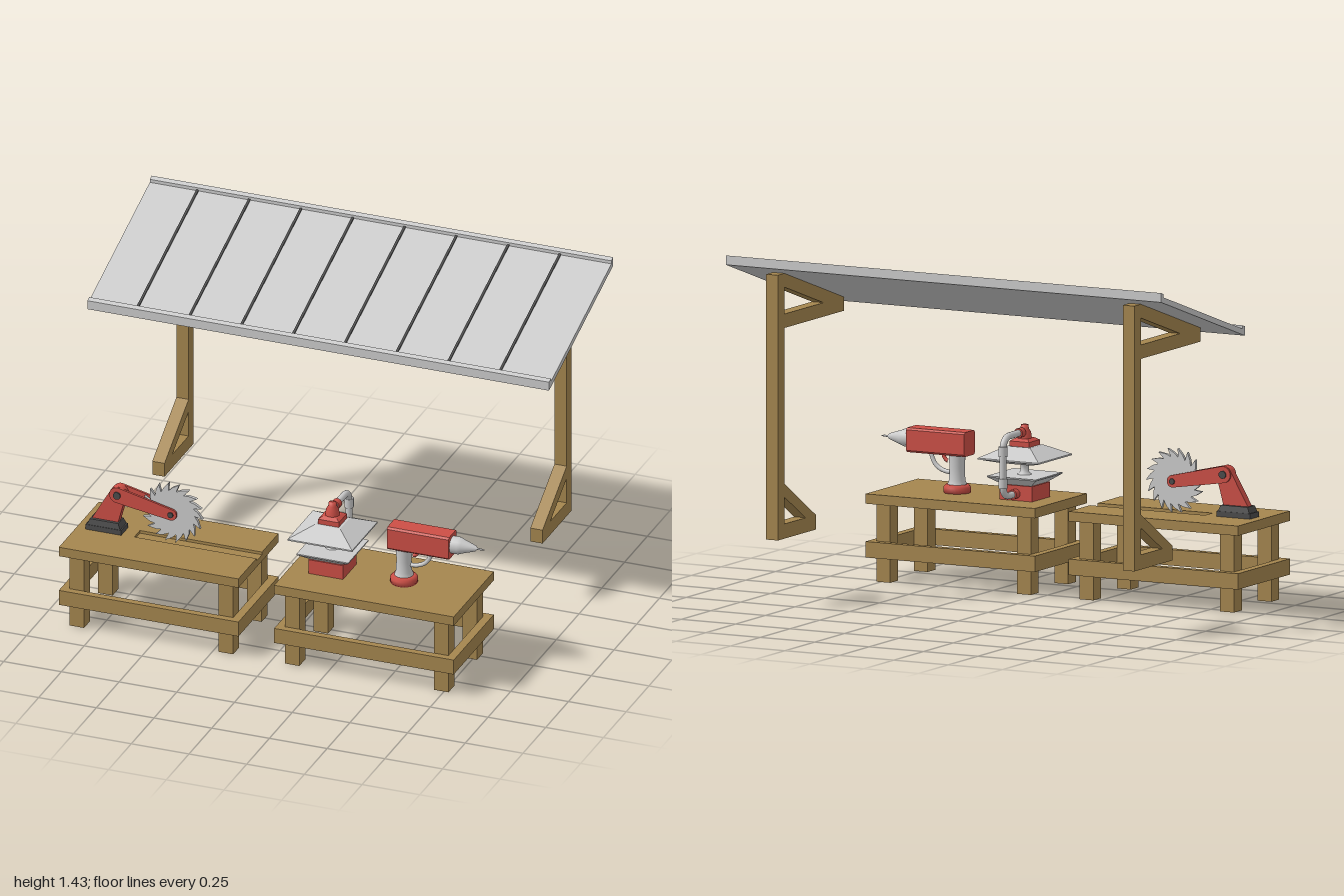
import * as THREE from 'three';

const mat = (color, extra = {}) => new THREE.MeshStandardMaterial({ color, ...extra });
const wood = mat(0xa5864f);
const red = mat(0xcc4f46);
const redFlat = mat(0xcc4f46, { flatShading: true });
const grey = mat(0xcccccc);
const greyFlat = mat(0xcccccc, { flatShading: true });
const dark = mat(0x4c4c4c, { flatShading: true });

function add(parent, name, geometry, material, x = 0, y = 0, z = 0) {
  const mesh = new THREE.Mesh(geometry, material);
  mesh.name = name;
  mesh.position.set(x, y, z);
  parent.add(mesh);
  return mesh;
}

// Box given by its lower and upper limits on each axis
function box(parent, name, material, x0, x1, y0, y1, z0, z1) {
  return add(parent, name, new THREE.BoxGeometry(x1 - x0, y1 - y0, z1 - z0), material,
    (x0 + x1) / 2, (y0 + y1) / 2, (z0 + z1) / 2);
}

// Profile of [z, y] points swept along x
function sweepX(points, x0, x1, holes = []) {
  const v = (list) => list.map(([z, y]) => new THREE.Vector2(-z, y));
  const shape = new THREE.Shape(v(points));
  for (const hole of holes) shape.holes.push(new THREE.Path(v(hole)));
  const g = new THREE.ExtrudeGeometry(shape, { depth: x1 - x0, bevelEnabled: false });
  return g.rotateY(Math.PI / 2).translate(x0, 0, 0);
}

// Square frustum from half width a at y0 to half width b at y1
function frustum(parent, name, material, a, b, y0, y1) {
  const g = new THREE.CylinderGeometry(b * Math.SQRT2, a * Math.SQRT2, y1 - y0, 4);
  return add(parent, name, g.rotateY(Math.PI / 4), material, 0, (y0 + y1) / 2, 0);
}

function lathe(points, segments = 24) {
  return new THREE.LatheGeometry(points.map(([r, y]) => new THREE.Vector2(r, y)), segments);
}

// Plate with two rounded ends of different radius, in the xy plane, centred on z
function link(x0, y0, r0, x1, y1, r1, depth) {
  const a = Math.atan2(y1 - y0, x1 - x0);
  const s = new THREE.Shape();
  s.absarc(x1, y1, r1, a - Math.PI / 2, a + Math.PI / 2, false);
  s.absarc(x0, y0, r0, a + Math.PI / 2, a + Math.PI * 1.5, false);
  const g = new THREE.ExtrudeGeometry(s, { depth, bevelEnabled: false, curveSegments: 10 });
  return g.translate(0, 0, -depth / 2);
}

function makeRoof() {
  const roof = new THREE.Group();
  roof.name = 'roof';
  const bottom = (z) => 1.16 + (0.08 - z) / 3;
  // Sloping sheet with a raised lip at both ends
  const profile = [[0.08, 1.16], [0.08, 1.198], [0.06, 1.205], [0.06, bottom(0.06) + 0.024],
    [-0.605, bottom(-0.605) + 0.024], [-0.605, 1.426], [-0.625, 1.433], [-0.625, bottom(-0.625)]];
  add(roof, 'roofSheet', sweepX(profile, -1, 1), grey);
  const seam = [[0.06, bottom(0.06) + 0.02], [0.06, bottom(0.06) + 0.029],
    [-0.605, bottom(-0.605) + 0.029], [-0.605, bottom(-0.605) + 0.02]];
  for (let i = 0; i < 8; i++) {
    const x = -0.793 + i * 0.2243;
    add(roof, 'roofSeam', sweepX(seam, x - 0.005, x + 0.005), dark);
  }
  return roof;
}

// Post with a braced foot and a braced roof arm, cut from one outline
function makePost(x0) {
  const outline = [[-0.585, 0.28], [-0.265, 0.28], [-0.265, 0.34], [-0.53, 0.505],
    [-0.53, 1.14], [-0.03, 1.14], [-0.03, 1.197], [-0.53, 1.363], [-0.585, 1.363]];
  const holes = [
    [[-0.35, 0.34], [-0.53, 0.34], [-0.53, 0.45]],
    [[-0.2, 1.197], [-0.53, 1.197], [-0.53, 1.307]],
  ];
  const post = new THREE.Group();
  post.name = 'roofPost';
  add(post, 'postFrame', sweepX(outline, x0, x0 + 0.053, holes), wood);
  return post;
}

function makeBench(cx, slotted) {
  const bench = new THREE.Group();
  bench.name = 'workbench';
  bench.position.set(cx, 0, 0.41);
  const w = 0.389, d = 0.22;
  if (slotted) {
    // Top with a shallow guide slot running to one end
    box(bench, 'benchTop', wood, -w, -0.14, 0.32, 0.36, -d, d);
    const section = [[-d, 0.32], [d, 0.32], [d, 0.36], [0.022, 0.36], [0.022, 0.348],
      [-0.04, 0.348], [-0.04, 0.36], [-d, 0.36]];
    add(bench, 'slottedTop', sweepX(section, -0.14, w), wood);
  } else {
    box(bench, 'benchTop', wood, -w, w, 0.32, 0.36, -d, d);
  }
  for (const sx of [-1, 1]) {
    for (const sz of [-1, 1]) {
      add(bench, 'benchLeg', new THREE.BoxGeometry(0.063, 0.32, 0.066), wood, sx * 0.323, 0.16, sz * 0.157);
    }
    add(bench, 'sideRail', new THREE.BoxGeometry(0.035, 0.065, 2 * d), wood, sx * (w - 0.0175), 0.133, 0);
    add(bench, 'longRail', new THREE.BoxGeometry(2 * w - 0.07, 0.065, 0.03), wood, 0, 0.133, sx * (d - 0.015));
  }
  return bench;
}

function makeSaw() {
  const saw = new THREE.Group();
  saw.name = 'circularSaw';
  saw.position.z = 0.402;
  box(saw, 'sawFoot', dark, -0.867, -0.712, 0.36, 0.382, -0.037, 0.037);
  const foot = add(saw, 'sawFootTop', new THREE.CylinderGeometry(0.6, 0.707, 1, 4).rotateY(Math.PI / 4), dark, -0.79, 0.394, 0);
  foot.scale.set(0.145, 0.025, 0.07);
  // Lower arm widening toward the foot
  const s = new THREE.Shape();
  s.moveTo(-0.85, 0.4);
  s.lineTo(-0.735, 0.4);
  s.lineTo(-0.703, 0.52);
  s.absarc(-0.735, 0.53, 0.035, -0.3, Math.PI - 0.35, false);
  const lower = new THREE.ExtrudeGeometry(s, { depth: 0.034, bevelEnabled: false });
  add(saw, 'lowerArm', lower.translate(0, 0, -0.017), red);
  for (const side of [-1, 1]) {
    add(saw, 'upperArm', link(-0.735, 0.53, 0.034, -0.503, 0.485, 0.025, 0.01), red, 0, 0, side * 0.02);
    for (const [x, y, r] of [[-0.735, 0.53, 0.016], [-0.503, 0.485, 0.012]]) {
      add(saw, 'pivotPin', new THREE.CylinderGeometry(r, r, 0.008, 16).rotateX(Math.PI / 2), dark, x, y, side * 0.027);
    }
  }
  // Blade with hooked teeth
  const n = 18, blade = new THREE.Shape();
  for (let i = 0; i < n; i++) {
    const a = (i / n) * Math.PI * 2;
    const p = (r, t) => [r * Math.cos(t), r * Math.sin(t)];
    if (i === 0) blade.moveTo(...p(0.097, a));
    else blade.lineTo(...p(0.097, a));
    blade.lineTo(...p(0.132, a - 0.06));
    blade.lineTo(...p(0.112, a + 0.17));
  }
  blade.closePath();
  const bladeGeo = new THREE.ExtrudeGeometry(blade, { depth: 0.014, bevelEnabled: false });
  add(saw, 'sawBlade', bladeGeo.translate(0, 0, -0.007), greyFlat, -0.503, 0.487, 0);
  return saw;
}

function makePress() {
  const press = new THREE.Group();
  press.name = 'press';
  press.position.set(0.19, 0, 0.405);
  frustum(press, 'pressBase', redFlat, 0.075, 0.075, 0.36, 0.422);
  frustum(press, 'lowerPan', greyFlat, 0.065, 0.112, 0.42, 0.453);
  frustum(press, 'lowerPlate', greyFlat, 0.112, 0.112, 0.453, 0.458);
  add(press, 'pressStem', lathe([[0.032, 0.455], [0.017, 0.47], [0.017, 0.495], [0.03, 0.512]]), grey);
  frustum(press, 'upperUnderside', greyFlat, 0.07, 0.138, 0.507, 0.526);
  frustum(press, 'upperPlate', greyFlat, 0.14, 0.14, 0.526, 0.532);
  frustum(press, 'upperHood', greyFlat, 0.14, 0.055, 0.532, 0.575);
  frustum(press, 'pressCap', redFlat, 0.045, 0.045, 0.57, 0.596);
  frustum(press, 'capTaper', redFlat, 0.045, 0.03, 0.596, 0.606);
  add(press, 'capKnob', lathe([[0.03, 0.6], [0.026, 0.63], [0.017, 0.645], [0.015, 0.661], [0, 0.661]]), red);
  // Bent pipe from the knob round the back to the base
  const v = (z, y) => new THREE.Vector3(0, y, z);
  const path = new THREE.CurvePath();
  path.add(new THREE.LineCurve3(v(-0.02, 0.632), v(-0.125, 0.632)));
  path.add(new THREE.QuadraticBezierCurve3(v(-0.125, 0.632), v(-0.182, 0.632), v(-0.182, 0.575)));
  path.add(new THREE.LineCurve3(v(-0.182, 0.575), v(-0.182, 0.44)));
  path.add(new THREE.QuadraticBezierCurve3(v(-0.182, 0.44), v(-0.182, 0.388), v(-0.13, 0.388)));
  path.add(new THREE.LineCurve3(v(-0.13, 0.388), v(-0.06, 0.388)));
  add(press, 'pipe', new THREE.TubeGeometry(path, 64, 0.014, 14), grey);
  for (const y of [0.575, 0.445]) {
    add(press, 'pipeCollar', new THREE.CylinderGeometry(0.019, 0.019, 0.04, 16), grey, 0, y, -0.182);
  }
  for (const [z, y] of [[-0.04, 0.632], [-0.09, 0.388]]) {
    add(press, 'pipeSocket', new THREE.CylinderGeometry(0.02, 0.02, 0.03, 16).rotateX(Math.PI / 2), red, 0, y, z);
  }
  return press;
}

function makeDrill() {
  const drill = new THREE.Group();
  drill.name = 'drill';
  drill.position.set(0.5, 0, 0.405);
  add(drill, 'drillFoot', lathe([[0, 0.36], [0.056, 0.36], [0.056, 0.382], [0.045, 0.394], [0, 0.394]], 28), red);
  add(drill, 'drillHandle', lathe([[0.041, 0.39], [0.033, 0.41], [0.031, 0.46], [0.034, 0.52]]), grey);
  // Body with chamfered long edges
  const w = 0.045, h = 0.05, c = 0.008;
  const section = [[-w + c, -h], [w - c, -h], [w, -h + c], [w, h - c], [w - c, h], [-w + c, h], [-w, h - c], [-w, -h + c]];
  add(drill, 'drillBody', sweepX(section, -0.057, 0.21), redFlat, 0, 0.563, 0);
  // Chuck and bit pointing along x
  const chuck = lathe([[0.036, 0.205], [0.036, 0.24], [0.03, 0.255], [0.012, 0.31], [0.004, 0.318], [0.004, 0.335], [0, 0.352]]);
  add(drill, 'chuckAndBit', chuck.rotateZ(-Math.PI / 2), grey, 0, 0.565, 0);
  // Curved guard and trigger under the body
  const curve = (...p) => new THREE.QuadraticBezierCurve3(...p.map(([x, y]) => new THREE.Vector3(x, y, 0)));
  add(drill, 'triggerGuard', new THREE.TubeGeometry(curve([0.12, 0.52], [0.11, 0.44], [0.025, 0.44]), 20, 0.009, 10), grey);
  add(drill, 'trigger', new THREE.TubeGeometry(curve([0.065, 0.52], [0.06, 0.488], [0.04, 0.485]), 10, 0.008, 10), red);
  return drill;
}

export function createModel() {
  const model = new THREE.Group();
  model.name = 'workshop';
  model.add(makeRoof(), makePost(-0.855), makePost(0.783));
  model.add(makeBench(-0.518, true), makeBench(0.415, false));
  model.add(makeSaw(), makePress(), makeDrill());
  return model;
}
